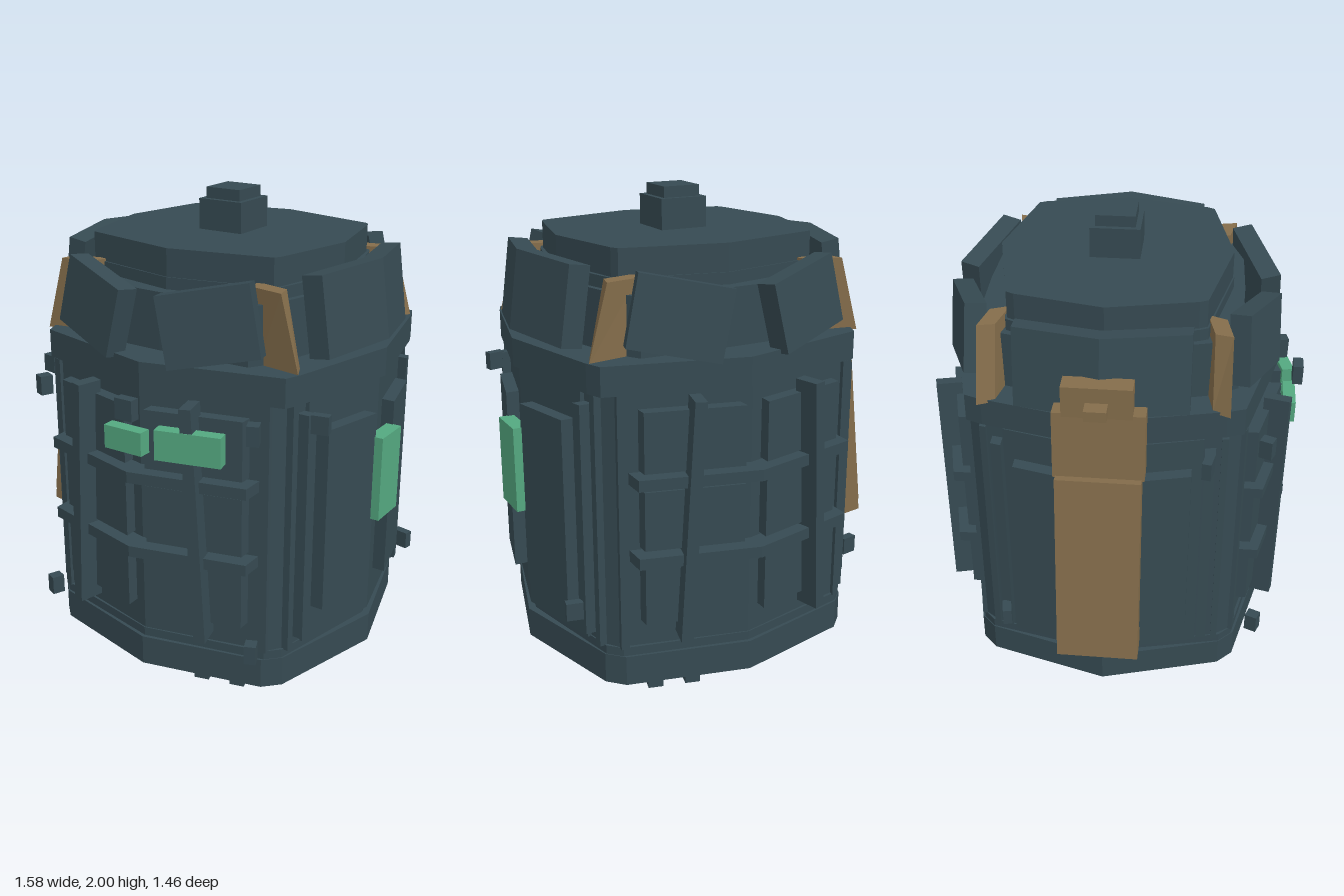
import * as THREE from 'three';

const mat = (name, color) => {
  const m = new THREE.MeshStandardMaterial({ color });
  m.name = name;
  return m;
};

// Solid between two matching footprints of [x, z] points at heights y0 and y1
function loft(bottom, y0, top, y1) {
  const b = bottom.map(p => new THREE.Vector2(p[0], p[1]));
  const t = top.map(p => new THREE.Vector2(p[0], p[1]));
  if (THREE.ShapeUtils.area(b) < 0) { b.reverse(); t.reverse(); }
  const pos = [];
  const add = (...vs) => vs.forEach(([p, y]) => pos.push(p.x, y, p.y));
  for (const [i, j, k] of THREE.ShapeUtils.triangulateShape(b, [])) {
    add([b[i], y0], [b[j], y0], [b[k], y0]);
    add([t[k], y1], [t[j], y1], [t[i], y1]);
  }
  for (let i = 0; i < b.length; i++) {
    const j = (i + 1) % b.length;
    add([b[i], y0], [t[i], y1], [b[j], y0], [b[j], y0], [t[i], y1], [t[j], y1]);
  }
  const g = new THREE.BufferGeometry();
  g.setAttribute('position', new THREE.Float32BufferAttribute(pos, 3));
  g.computeVertexNormals();
  return g;
}

const SLOPE = 0.25;

// Square footprint with ridged sides and narrow chamfered corners
function hull(rx, rz, a, b, c, d) {
  return [
    [0, rz], [a, b], [c, d], [rx, 0],
    [c, -d], [a, -b], [0, -rz], [-a, -b], [-c, -d], [-rx, 0], [-c, d], [-a, b],
  ];
}

// Strip following the ridged side facing +z, from u = a to u = b
function band(a, b, r, thick) {
  const us = a < 0 && b > 0 ? [a, 0, b] : [a, b];
  const outer = us.map(u => [u, r - SLOPE * Math.abs(u)]);
  const inner = outer.map(([u, z]) => [u, z - thick]).reverse();
  return [...outer, ...inner];
}

export function createModel() {
  const model = new THREE.Group();
  const slate = mat('slate', 0x364a52);
  const green = mat('green', 0x54a880);
  const brown = mat('brown', 0x846d4b);
  const grey = mat('grey', 0x8f9795);

  const body = new THREE.Group();
  body.name = 'body';
  body.position.set(0.068, 0, -0.018);
  model.add(body);

  const put = (parent, name, geo, m) => {
    const mesh = new THREE.Mesh(geo, m);
    mesh.name = name;
    parent.add(mesh);
    return mesh;
  };
  const prism = (parent, name, pts, y0, y1, m = slate, top = pts) =>
    put(parent, name, loft(pts, y0, top, y1), m);
  const box = (parent, name, m, size, pos, rot = [0, 0, 0]) => {
    const mesh = put(parent, name, new THREE.BoxGeometry(...size), m);
    mesh.position.set(...pos);
    mesh.rotation.set(...rot);
    return mesh;
  };

  // Stacked hull sections
  prism(body, 'underside', hull(0.548, 0.555, 0.41, 0.45, 0.445, 0.41), 0.17, 0.215);
  prism(body, 'lowerRing', hull(0.665, 0.645, 0.475, 0.53, 0.535, 0.47), 0.21, 0.33);
  prism(body, 'lowerStep', hull(0.635, 0.63, 0.48, 0.52, 0.53, 0.47), 0.33, 0.365);
  prism(body, 'drum', hull(0.625, 0.625, 0.49, 0.505, 0.53, 0.45), 0.36, 1.37);
  prism(body, 'upperRing', hull(0.662, 0.645, 0.53, 0.515, 0.555, 0.45), 1.36, 1.47).position.x = 0.016;
  prism(body, 'roofCore', hull(0.54, 0.495, 0.375, 0.485, 0.43, 0.4), 1.46, 1.69);
  prism(body, 'lidFlange', hull(0.52, 0.45, 0.41, 0.365, 0.425, 0.335), 1.68, 1.735);
  prism(body, 'lid', hull(0.488, 0.445, 0.4, 0.36, 0.415, 0.33), 1.73, 1.84);
  box(body, 'knobBase', slate, [0.19, 0.125, 0.19], [0, 1.895, 0]);
  box(body, 'knobTop', slate, [0.15, 0.055, 0.15], [0, 1.9725, 0]);

  // Base plate, nozzle blocks and small studs
  prism(body, 'basePlate', hull(0.395, 0.385, 0.28, 0.31, 0.31, 0.28), 0.12, 0.172, green);
  box(body, 'nozzleCore', grey, [0.24, 0.1, 0.24], [0, 0.08, 0]);
  for (let k = 0; k < 4; k++) {
    const arm = new THREE.Group();
    arm.name = 'nozzleArm';
    arm.rotation.y = k * Math.PI / 2;
    body.add(arm);
    box(arm, 'nozzleBlock', grey, [0.155, 0.125, 0.09], [0, 0.0625, 0.16]);
  }
  for (const s of [1, -1]) for (const x of [-0.305, -0.13, 0.15, 0.295]) {
    box(body, 'baseStud', slate, [0.06, 0.055, 0.055],
      [x, 0.12, s * (0.475 - SLOPE * Math.abs(x))], [0, s * Math.sign(x) * 0.25, 0]);
  }

  for (let k = 0; k < 4; k++) {
    const side = new THREE.Group();
    side.rotation.y = k * Math.PI / 2;
    body.add(side);
    for (const s of [1, -1]) {
      const half = (a, b, r, t) => band(a, b, r, t).map(([u, z]) => [s * u, z]);
      if (k % 2 === 0) {
        // Front and back: square panels, upright bars and tilted roof plates
        for (const [y0, y1] of [[0.47, 0.7], [0.77, 1.0], [1.07, 1.3]]) {
          prism(side, 'squarePanel', half(0.045, 0.41, 0.675, 0.07), y0, y1);
        }
        prism(side, 'edgePost', half(0.46, 0.49, 0.645, 0.05), 0.36, 1.36);
        box(side, 'uprightBar', slate, [0.045, 0.93, 0.1],
          [s * 0.257, 0.885, 0.637], [0, s * 0.25, s * 0.054]);
        box(side, 'roofPlate', slate, [0.345, 0.265, 0.08],
          [s * 0.252, 1.615, 0.54], [-0.12, s * 0.33, s * 0.235]);
      } else {
        // Left and right: tall panels and edge strips
        prism(side, 'tallPanel', half(0.075, 0.33, 0.706, 0.07), 0.5, 1.235);
        prism(side, 'edgeStrip', half(0.375, 0.415, 0.69, 0.06), 0.4, 1.31);
        prism(side, 'edgePost', half(0.435, 0.46, 0.665, 0.05), 0.36, 1.36);
      }
    }
    if (k % 2 === 0) {
      side.name = k ? 'backSide' : 'frontSide';
      for (const y of [1.042, 0.738]) {
        prism(side, 'crossBar', band(-0.447, 0.447, 0.715, 0.1), y - 0.022, y + 0.022);
      }
    } else {
      side.name = k === 1 ? 'leftSide' : 'rightSide';
      prism(side, 'sidePanel', band(-0.37, 0.37, 0.655, 0.05), 0.36, 1.36);
      // Inward-leaning roof plate
      const plate = prism(side, 'sideRoofPlate', band(-0.315, 0.315, 0.67, 0.08), -0.15, 0.15);
      plate.position.y = 1.56;
      plate.rotation.x = -0.14;
      if (k === 1) box(side, 'sideLight', green, [0.16, 0.34, 0.06], [0, 0.97, 0.69]);
      else box(side, 'sideLight', green, [0.12, 0.38, 0.06], [0.035, 0.99, 0.692]);
    }
  }

  // Slanted roof supports at the four corners
  for (const sx of [1, -1]) for (const sz of [1, -1]) {
    const at = pts => pts.map(([x, z]) => [sx * x, sz * z]);
    prism(body, 'roofSupport', at([[0.565, 0.46], [0.535, 0.395], [0.36, 0.36], [0.38, 0.43]]),
      1.46, 1.745, brown, at([[0.485, 0.455], [0.47, 0.39], [0.33, 0.36], [0.36, 0.43]]));
  }

  // Small brackets around the drum
  for (const s of [1, -1]) {
    for (const y of [1.28, 0.405]) {
      box(body, 'frontBracket', slate, [0.045, 0.075, 0.05], [s * 0.475, y, 0.605], [0, s * 0.4, 0]);
    }
    box(body, 'upperSideBracket', slate, [0.065, 0.07, 0.035], [s * 0.622, 1.28, 0.39], [0, s * 0.2, 0]);
    box(body, 'lowerSideBracket', slate, [0.065, 0.07, 0.035], [s * 0.622, 0.5, -0.39], [0, -s * 0.2, 0]);
  }
  box(model, 'frontHook', slate, [0.075, 0.08, 0.04], [0.088, 1.32, 0.71]);

  // Front lights
  box(model, 'smallFrontLight', green, [0.165, 0.09, 0.05], [0.063, 1.19, 0.682]);
  box(model, 'largeFrontLight', green, [0.25, 0.115, 0.05], [0.318, 1.203, 0.65], [0, 0.25, 0]);

  // Hinged flap hanging from the right side
  const flap = new THREE.Group();
  flap.name = 'flap';
  model.add(flap);
  box(flap, 'flapHead', brown, [0.075, 0.12, 0.25], [-0.618, 1.595, -0.02]);
  box(flap, 'flapNeck', brown, [0.075, 0.26, 0.33], [-0.625, 1.415, -0.015], [0, 0, -0.08]);
  box(flap, 'flapPin', brown, [0.06, 0.04, 0.08], [-0.682, 1.577, -0.02]);
  box(flap, 'flapPanel', brown, [0.075, 0.73, 0.31], [-0.708, 0.93, -0.015], [0, 0, -0.115]);
  box(flap, 'flapFoot', brown, [0.1, 0.08, 0.31], [-0.736, 0.557, -0.015], [0, 0, -0.115]);

  return model;
}
